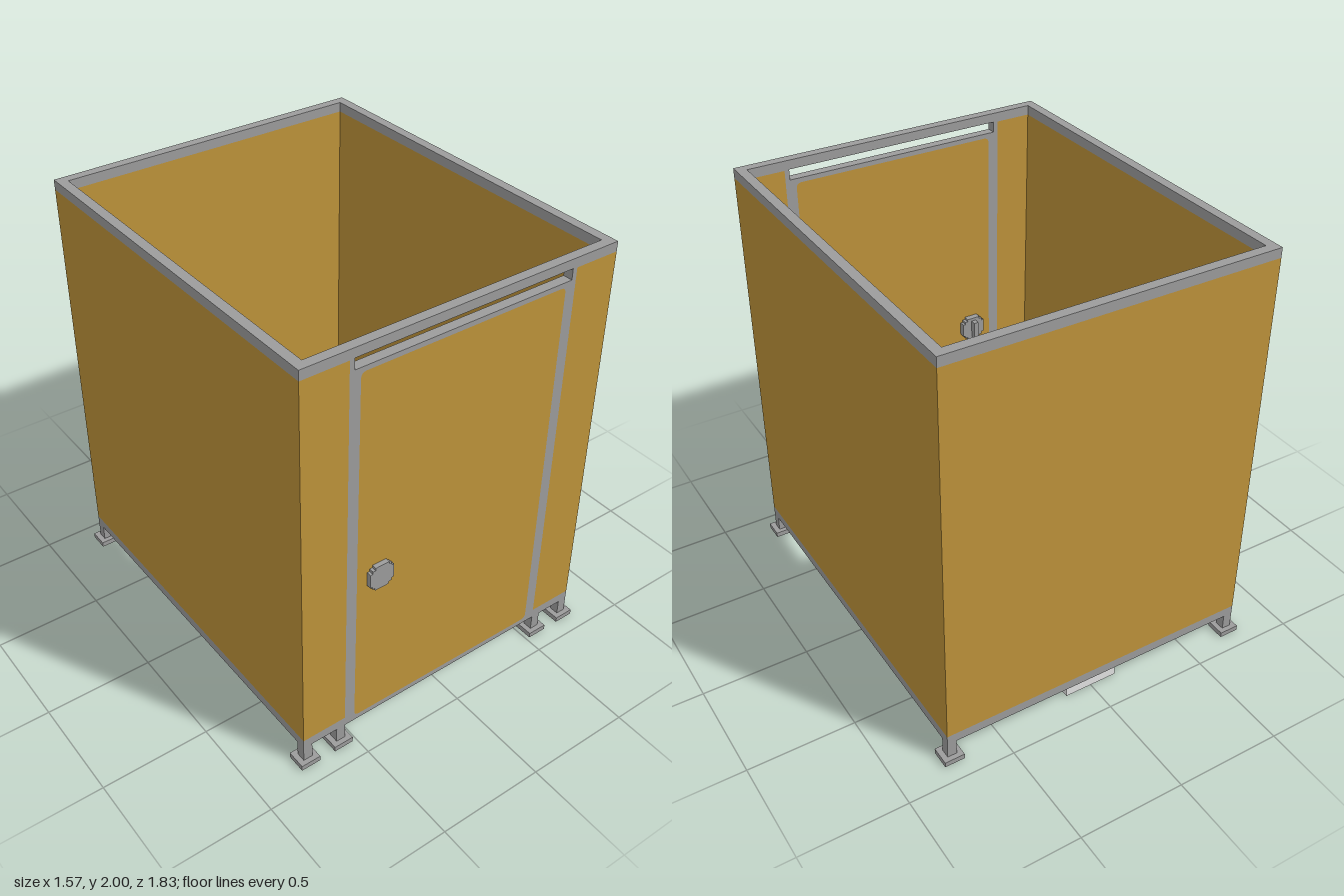
import * as THREE from 'three';

const mat = (name, color) => {
  const m = new THREE.MeshStandardMaterial({ color });
  m.name = name;
  return m;
};

export function createModel() {
  const ochre = mat('ochre panel', 0xbe933a);
  const grey = mat('grey metal', 0x9c9c9c);
  const white = mat('white ceramic', 0xe4e4e4);

  const model = new THREE.Group();
  model.name = 'toiletCubicle';

  const add = (name, geo, material, parent = model) => {
    const mesh = new THREE.Mesh(geo, material);
    mesh.name = name;
    parent.add(mesh);
    return mesh;
  };
  // Box given by its limits on each axis
  const box = (name, material, [x0, x1], [y0, y1], [z0, z1], parent) => {
    const geo = new THREE.BoxGeometry(x1 - x0, y1 - y0, z1 - z0);
    geo.translate((x0 + x1) / 2, (y0 + y1) / 2, (z0 + z1) / 2);
    return add(name, geo, material, parent);
  };
  const group = (name) => {
    const g = new THREE.Group();
    g.name = name;
    model.add(g);
    return g;
  };
  const extrude = (shape, depth) =>
    new THREE.ExtrudeGeometry(shape, { depth, bevelEnabled: false, curveSegments: 4 });
  // Rectangle with small rounded corners
  const trace = (path, x0, x1, y0, y1, r) => {
    path.moveTo(x0 + r, y0);
    path.lineTo(x1 - r, y0);
    path.quadraticCurveTo(x1, y0, x1, y0 + r);
    path.lineTo(x1, y1 - r);
    path.quadraticCurveTo(x1, y1, x1 - r, y1);
    path.lineTo(x0 + r, y1);
    path.quadraticCurveTo(x0, y1, x0, y1 - r);
    path.lineTo(x0, y0 + r);
    path.quadraticCurveTo(x0, y0, x0 + r, y0);
    return path;
  };

  const W = 0.76, D = 0.893, T = 0.045, BOTTOM = 0.1;
  const inZ = D - T, inX = W - T;

  // Back and side walls: a panel between two rails
  const wall = (name, xs, zs) => {
    const g = group(name);
    box('bottomRail', grey, xs, [BOTTOM, 0.145], zs, g);
    box('panel', ochre, xs, [0.145, 1.955], zs, g);
    box('topRail', grey, xs, [1.955, 2], zs, g);
  };
  wall('backWall', [-W, W], [-D, -inZ]);
  wall('rightWall', [-W, -inX], [-inZ, inZ]);
  wall('leftWall', [inX, W], [-inZ, inZ]);

  // Front wall: door frame with an open slot above the door
  const front = group('frontWall');
  const frame = new THREE.Shape([
    [-W, BOTTOM], [W, BOTTOM], [W, 0.145], [0.545, 0.145], [0.545, 1.955], [W, 1.955],
    [W, 2], [-W, 2], [-W, 1.955], [-0.545, 1.955], [-0.545, 0.145], [-W, 0.145],
  ].map(([x, y]) => new THREE.Vector2(x, y)));
  const door = [-0.495, 0.495, 0.125, 1.885, 0.025];
  frame.holes.push(trace(new THREE.Path(), ...door));
  frame.holes.push(trace(new THREE.Path(), -0.523, 0.523, 1.907, 1.957, 0.001));
  add('doorFrame', extrude(frame, T).translate(0, 0, inZ), grey, front);
  add('door', extrude(trace(new THREE.Shape(), ...door), T).translate(0, 0, inZ), ochre, front);
  for (const s of [-1, 1]) {
    const xs = s < 0 ? [-W, -0.545] : [0.545, W];
    box('sidePanel', ochre, xs, [0.145, 1.955], [inZ, D], front);
  }

  // Feet: four along the front, two at the back
  for (const s of [-1, 1]) {
    for (const [x, z] of [[0.738, 0.871], [0.566, 0.871], [0.738, -0.871]]) {
      const g = group('foot');
      box('stem', grey, [s * x - 0.022, s * x + 0.022], [0.025, BOTTOM], [z - 0.022, z + 0.022], g);
      box('basePlate', grey, [s * x - 0.047, s * x + 0.047], [0, 0.025], [z - 0.045, z + 0.045], g);
    }
  }

  // Stepped round lock on both faces of the door
  const lock = group('doorLock');
  const quarter = [[0.059, 0.034], [0.047, 0.034], [0.047, 0.047], [0.034, 0.047], [0.034, 0.059]];
  const ring = [];
  for (let q = 0; q < 4; q++) {
    for (const [x, y] of quarter) {
      ring.push(new THREE.Vector2(x, y).rotateAround(new THREE.Vector2(), q * Math.PI / 2));
    }
  }
  const disc = (name, z0, z1) =>
    add(name, extrude(new THREE.Shape(ring), z1 - z0).translate(-0.386, 0.886, z0), grey, lock);
  disc('outerDisc', D, 0.915);
  disc('innerDisc', 0.818, inZ);
  box('latch', grey, [-0.398, -0.375], [0.84, 0.93], [0.79, 0.818], lock);

  // Slab with a stepped front; outline holds [half width, z] pairs from back to front
  const slab = (name, outline, y0, y1, parent) => {
    const pts = outline.map(([x, z]) => new THREE.Vector2(x, -z));
    const mirrored = outline.map(([x, z]) => new THREE.Vector2(-x, -z)).reverse();
    const geo = extrude(new THREE.Shape([...pts, ...mirrored]), y1 - y0);
    geo.rotateX(-Math.PI / 2).translate(0, y0, 0);
    add(name, geo, white, parent);
  };
  const toilet = group('toilet');
  slab('pedestal', [[0.13, -inZ], [0.13, -0.435], [0.11, -0.435], [0.11, -0.385],
    [0.08, -0.385], [0.08, -0.335]], 0, 0.18, toilet);
  slab('bowl', [[0.18, -inZ], [0.18, -0.4], [0.155, -0.4], [0.155, -0.35],
    [0.12, -0.35], [0.12, -0.31]], 0.18, 0.37, toilet);
  slab('seat', [[0.205, -inZ], [0.205, -0.39], [0.185, -0.39], [0.185, -0.345],
    [0.157, -0.345], [0.157, -0.315], [0.132, -0.315], [0.132, -0.29]], 0.37, 0.43, toilet);
  box('hinge', white, [-0.11, 0.11], [0.43, 0.45], [-0.655, -0.635], toilet);
  box('tank', white, [-0.185, 0.185], [0.43, 0.74], [-inZ, -0.66], toilet);
  box('tankLid', white, [-0.2, 0.2], [0.74, 0.78], [-inZ, -0.652], toilet);

  // Paper holder on the right wall
  const holder = group('paperHolder');
  box('bracket', grey, [-inX, -0.635], [0.42, 0.54], [-0.485, -0.03], holder);
  const roll = new THREE.CylinderGeometry(0.06, 0.06, 0.36, 8).toNonIndexed();
  roll.computeVertexNormals();
  roll.rotateX(Math.PI / 2).translate(-0.58, 0.48, -0.257);
  add('paperRoll', roll, white, holder);
  for (const z of [-0.461, -0.054]) {
    box('endPlate', white, [-0.635, -0.52], [0.42, 0.54], [z - 0.024, z + 0.024], holder);
  }

  return model;
}
